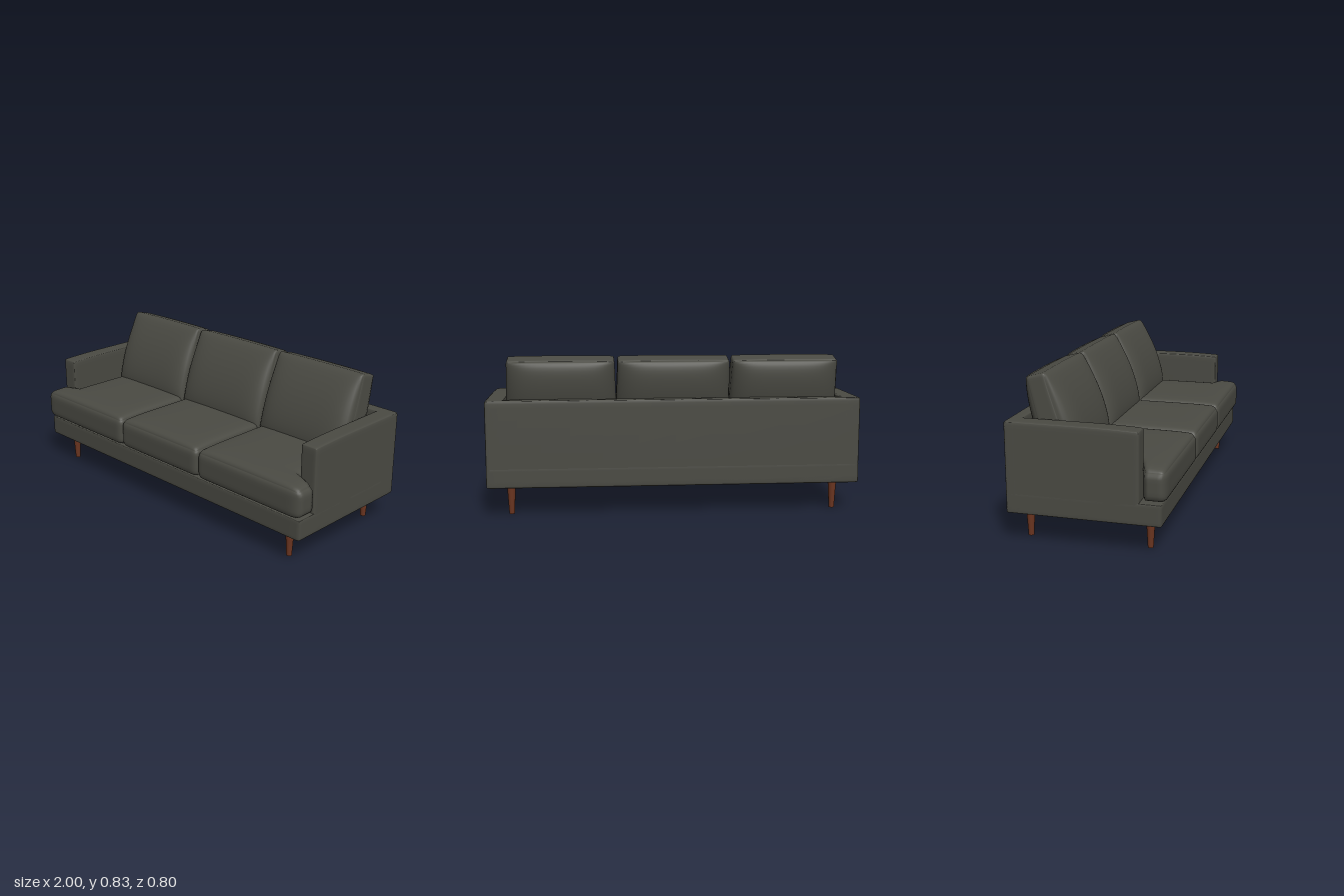
import * as THREE from 'three';
import { mergeVertices } from 'three/addons/utils/BufferGeometryUtils.js';

const fabric = new THREE.MeshStandardMaterial({ color: 0x4a4a43 });
fabric.name = 'charcoal fabric';
const wood = new THREE.MeshStandardMaterial({ color: 0x6b3520 });
wood.name = 'walnut wood';

// Rounded block between two corners, with vertices gathered near the edges.
// warp(p, u, v, w) may move each point; u, v, w run from -1 to 1 across the block.
function softBlock(name, min, max, r, segs, warp) {
  const half = min.map((m, i) => (max[i] - m) / 2);
  const mid = min.map((m, i) => (max[i] + m) / 2);
  let geo = new THREE.BoxGeometry(2, 2, 2, ...segs);
  geo.deleteAttribute('uv');
  geo.deleteAttribute('normal');
  geo = mergeVertices(geo, 1e-5);
  const pos = geo.attributes.position;
  const p = new THREE.Vector3(), inner = new THREE.Vector3();
  const box = new THREE.Vector3(half[0] - r, half[1] - r, half[2] - r);
  const low = box.clone().negate();
  for (let i = 0; i < pos.count; i++) {
    p.fromBufferAttribute(pos, i);
    const uvw = p.toArray().map((c) => Math.sin(c * Math.PI / 2));
    p.set(uvw[0] * half[0], uvw[1] * half[1], uvw[2] * half[2]);
    inner.copy(p).clamp(low, box);
    p.sub(inner).setLength(r).add(inner);
    p.x += mid[0];
    p.y += mid[1];
    p.z += mid[2];
    if (warp) warp(p, ...uvw);
    pos.setXYZ(i, p.x, p.y, p.z);
  }
  geo.computeVertexNormals();
  const mesh = new THREE.Mesh(geo, fabric);
  mesh.name = name;
  return mesh;
}

// Dome that is 1 in the middle and drops to 0 at the rim
const dome = (t, power) => Math.sqrt(Math.max(0, 1 - Math.abs(t) ** power));

// Seat cushion; side = -1 or 1 adds the wing that wraps round the arm front
function seatCushion(side) {
  const min = [-0.303, 0.268, -0.3], max = [0.303, 0.425, 0.398];
  if (side) {
    min[0] = side > 0 ? 0.305 : -0.885;
    max[0] = side > 0 ? 0.885 : -0.305;
  }
  return softBlock('seatCushion', min, max, 0.035, [28, 12, 44], (p, u, v, w) => {
    p.y += 0.024 * Math.max(0, v) * dome(u, 4) * dome(w, 4);
    if (side) {
      const reach = Math.max(0, (p.x * side - 0.75) / 0.135);
      p.x += side * 0.113 * reach * THREE.MathUtils.smoothstep(p.z, 0.255, 0.295);
    }
  });
}

// Leaning back cushion with puffed front and rear panels
function backCushion(side) {
  const cx = side * 0.594, hw = side ? 0.289 : 0.303;
  const min = [cx - hw, 0.4, -0.06], max = [cx + hw, 0.815, 0.06];
  return softBlock('backCushion', min, max, 0.012, [28, 24, 10], (p, u, v, w) => {
    const puff = w > 0 ? 0.066 * dome(u, 6) : 0.05 + 0.02 * dome(u, 2) - 0.05 * Math.abs(u) ** 6;
    // lean: front seam and rear seam follow slightly different slopes
    const front = -0.16 - 0.35 * (p.y - 0.61), rear = -0.27 - 0.26 * (p.y - 0.61);
    const t = (p.z + 0.06) / 0.12;
    const bulge = Math.sign(w) * Math.abs(w) ** 8 * puff * dome(v, 2);
    p.z = THREE.MathUtils.lerp(rear, front, t) + bulge;
    // top panel falls to the rear and is gently crowned
    if (v > 0) p.y += v ** 6 * (0.012 * w + 0.004 * dome(u, 2));
    // sides draw in a little toward the top
    p.x -= u * 0.008 * Math.max(0, v);
  });
}

export function createModel() {
  const sofa = new THREE.Group();
  sofa.name = 'sofa';

  // Frame
  sofa.add(softBlock('base', [-0.985, 0.15, -0.4], [0.985, 0.262, 0.375], 0.01, [16, 10, 16]));
  sofa.add(softBlock('backPanel', [-0.985, 0.15, -0.4], [0.985, 0.61, -0.335], 0.012, [16, 16, 10]));
  for (const s of [-1, 1]) {
    const xs = [s * 0.89, s * 0.985].sort((a, b) => a - b);
    sofa.add(softBlock('arm', [xs[0], 0.15, -0.4], [xs[1], 0.61, 0.266], 0.012, [10, 16, 20], (p) => {
      // top edge dips toward the front
      if (p.y > 0.5 && p.z > 0) p.y -= 0.007 * (p.z / 0.266) ** 2;
    }));
  }

  // Cushions
  for (const s of [-1, 0, 1]) sofa.add(seatCushion(s), backCushion(s));

  // Tapered legs
  const legGeo = new THREE.CylinderGeometry(0.023, 0.014, 0.155, 24);
  for (const x of [-0.862, 0.862]) {
    for (const z of [0.292, -0.322]) {
      const leg = new THREE.Mesh(legGeo, wood);
      leg.name = 'leg';
      leg.position.set(x, 0.0775, z);
      sofa.add(leg);
    }
  }
  return sofa;
}
